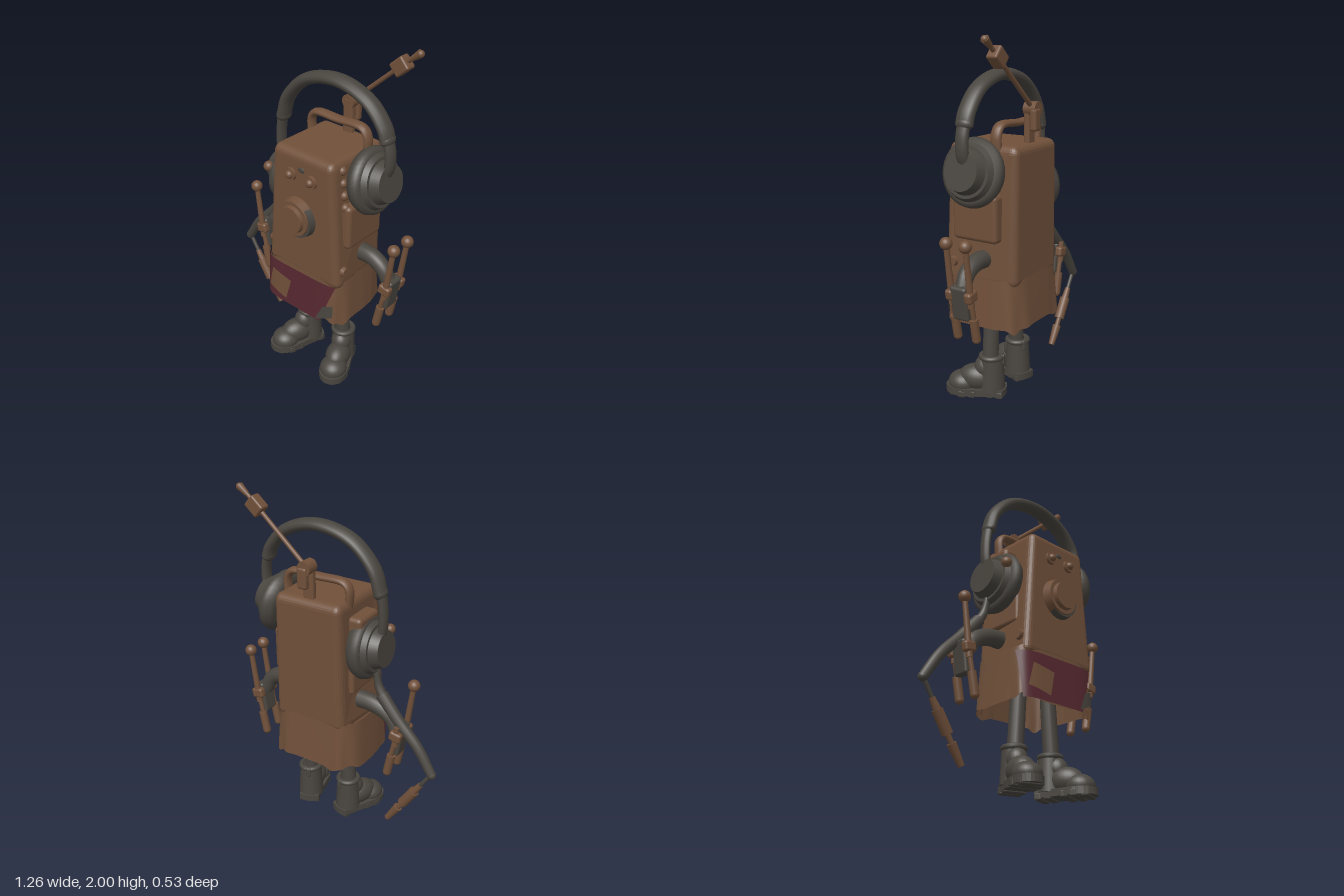
import * as THREE from 'three';
import { RoundedBoxGeometry } from 'three/addons/geometries/RoundedBoxGeometry.js';

const V = (x, y, z) => new THREE.Vector3(x, y, z);
const material = (name, color) => {
  const m = new THREE.MeshStandardMaterial({ color, side: THREE.DoubleSide });
  m.name = name;
  return m;
};

export function createModel() {
  const brown = material('rusty brown', 0x70503a);
  const grey = material('charcoal', 0x49453f);
  const red = material('dark red cloth', 0x562930);
  const model = new THREE.Group();
  model.name = 'robot';

  const add = (name, geo, mat, x = 0, y = 0, z = 0, parent = model) => {
    const mesh = new THREE.Mesh(geo, mat);
    mesh.name = name;
    mesh.position.set(x, y, z);
    parent.add(mesh);
    return mesh;
  };
  const rbox = (w, h, d, r) => new RoundedBoxGeometry(w, h, d, 3, r);
  const ball = (name, x, y, z, r, mat) => add(name, new THREE.SphereGeometry(r, 20, 14), mat, x, y, z);
  // Cylinder between two points
  const rod = (name, a, b, r0, r1, mat, sides = 16) => {
    const mid = a.clone().add(b).multiplyScalar(0.5);
    const mesh = add(name, new THREE.CylinderGeometry(r1, r0, a.distanceTo(b), sides), mat, mid.x, mid.y, mid.z);
    mesh.quaternion.setFromUnitVectors(V(0, 1, 0), b.clone().sub(a).normalize());
    return mesh;
  };
  // Tube through points, tapering from r0 to r1
  const hose = (name, points, r0, r1, mat) => {
    const curve = new THREE.CatmullRomCurve3(points), n = 40, m = 14;
    const geo = new THREE.TubeGeometry(curve, n, r0, m);
    const p = geo.attributes.position, v = V();
    for (let i = 0; i < p.count; i++) {
      const u = Math.floor(i / (m + 1)) / n, c = curve.getPointAt(u);
      v.fromBufferAttribute(p, i).sub(c).multiplyScalar(1 + (r1 / r0 - 1) * u).add(c);
      p.setXYZ(i, v.x, v.y, v.z);
    }
    return add(name, geo, mat);
  };

  // Body: rounded box narrowing to the top, and to the back at its foot
  const bodyGeo = rbox(0.535, 0.76, 0.43, 0.045);
  const bp = bodyGeo.attributes.position;
  for (let i = 0; i < bp.count; i++) {
    const low = 0.5 - bp.getY(i) / 0.76, back = 0.5 - bp.getZ(i) / 0.43;
    bp.setX(i, bp.getX(i) * (0.885 - 0.29 * bp.getY(i)) * (1 - 0.18 * low * back));
  }
  bodyGeo.computeVertexNormals();
  add('body', bodyGeo, brown, 0.105, 1.065, -0.018);

  // Side boxes and bolts
  add('leftPouch', rbox(0.1, 0.26, 0.28, 0.025), brown, 0.332, 1.065, -0.01);
  add('rightBox', rbox(0.09, 0.18, 0.2, 0.025), brown, -0.135, 1.27, -0.04);
  add('rightPouch', rbox(0.06, 0.26, 0.26, 0.02), brown, -0.11, 1.03, -0.02);
  ball('rightBolt', -0.222, 1.225, 0.11, 0.03, brown);
  for (const y of [1.18, 1.25, 1.32, 1.39]) ball('sideBolt', 0.36 - (y - 1) * 0.13, y, 0.11, 0.026, brown);
  for (const [x, s] of [[0.36, 1], [-0.15, -1]]) rod('sideKnob', V(x - s * 0.03, 0.8, 0.14), V(x + s * 0.02, 0.8, 0.14), 0.032, 0.026, brown);

  // Face: eyes, small badge and round speaker mouth
  for (const x of [0.035, 0.18]) {
    rod('eyeRim', V(x, 1.31, 0.18), V(x, 1.31, 0.214), 0.039, 0.035, brown);
    ball('eye', x, 1.31, 0.212, 0.024, brown);
  }
  add('badge', new THREE.SphereGeometry(0.025, 16, 10), grey, 0.107, 1.352, 0.194).scale.set(1, 0.65, 0.3);
  rod('speakerBase', V(0.096, 1.061, 0.18), V(0.096, 1.061, 0.235), 0.114, 0.104, grey, 32);
  rod('speakerRing', V(0.085, 1.07, 0.18), V(0.085, 1.07, 0.245), 0.116, 0.102, brown, 32);
  rod('speakerCap', V(0.085, 1.07, 0.23), V(0.085, 1.07, 0.268), 0.084, 0.076, brown, 32);

  // Carrying handle
  const h = [V(-0.085, 1.4, 0), V(-0.088, 1.5, 0), V(-0.06, 1.535, 0), V(0.1, 1.54, 0), V(0.27, 1.54, 0), V(0.3, 1.5, 0), V(0.3, 1.4, 0)];
  const handle = hose('handle', h, 0.02, 0.02, brown);
  handle.scale.z = 1.6;
  handle.position.z = -0.103;

  // Antenna with its mount
  add('antennaPost', rbox(0.065, 0.24, 0.036, 0.012), brown, 0.108, 1.52, -0.182);
  add('antennaClamp', rbox(0.06, 0.12, 0.04, 0.015), brown, 0.12, 1.565, -0.225);
  rod('antennaHinge', V(0.108, 1.62, -0.238), V(0.108, 1.62, -0.165), 0.04, 0.04, brown);
  rod('antennaRod', V(0.11, 1.62, -0.205), V(0.5, 1.965, -0.192), 0.013, 0.012, brown);
  add('antennaBlock', rbox(0.095, 0.08, 0.066, 0.012), brown, 0.422, 1.895, -0.193).rotation.z = 0.73;
  rod('antennaGrip', V(0.48, 1.945, -0.192), V(0.528, 1.983, -0.192), 0.014, 0.022, brown);
  ball('antennaTip', 0.526, 1.98, -0.192, 0.02, brown);

  // Headphone band and its flat end pieces
  const flat = (name, pts, r0, r1) => {
    const part = hose(name, pts.map(([x, y]) => V(x, y, 0)), r0, r1, grey);
    part.scale.z = 1.5;
    part.position.z = -0.032;
  };
  flat('headband', [[-0.235, 1.49], [-0.195, 1.61], [-0.06, 1.745], [0.155, 1.795], [0.355, 1.735], [0.46, 1.62], [0.48, 1.56]], 0.034, 0.034);
  for (const [x, y] of [[-0.234, 1.49], [0.478, 1.57]]) ball('bandEnd', x, y, -0.032, 0.036, grey).scale.z = 1.4;
  flat('rightBandArm', [[-0.24, 1.5], [-0.255, 1.38], [-0.25, 1.26], [-0.225, 1.2]], 0.025, 0.022);
  flat('leftBandArm', [[0.48, 1.58], [0.5, 1.5], [0.5, 1.42], [0.48, 1.36]], 0.025, 0.025);

  // Ear cups: soft cushion, shell and raised disc facing outward
  const cushion = [[0.1, -0.07], [0.14, -0.07], [0.168, -0.055], [0.184, -0.02], [0.178, 0.008], [0.155, 0.022], [0.1, 0.022]]
    .map(([r, y]) => new THREE.Vector2(r, y));
  const earCup = (name, x, y, tilt) => {
    const cup = new THREE.Group();
    cup.name = name;
    cup.position.set(x, y, -0.03);
    cup.rotation.z = tilt;
    model.add(cup);
    add('cushion', new THREE.LatheGeometry(cushion, 40), grey, 0, 0, 0, cup);
    for (const [part, r0, r1, y0, y1] of [['lining', 0.12, 0.12, -0.06, 0], ['shell', 0.158, 0.135, 0.01, 0.05], ['disc', 0.122, 0.1, 0.04, 0.1]])
      add(part, new THREE.CylinderGeometry(r1, r0, y1 - y0, 40), grey, 0, (y0 + y1) / 2, 0, cup);
  };
  earCup('leftEarCup', 0.42, 1.315, -Math.PI / 2 + 0.2);
  earCup('rightEarCup', -0.178, 1.165, Math.PI / 2 - 0.08);

  // Ragged skirt: open sleeve, squarish in front and drawn in at the back
  const power = 5.6;
  const cloth = (name, grow, top, hem) => {
    const rows = 6, cols = 120, pos = [], index = [];
    for (let j = 0; j <= rows; j++) for (let i = 0; i <= cols; i++) {
      const a = Math.PI * 2 * i / cols, t = j / rows;
      const bend = (s) => Math.sign(s) * Math.abs(s) ** (2 / power);
      const rag = 0.012 * Math.sin(a * 5 + 2) + 0.006 * Math.sin(a * 11);
      const out = 0.012 * t + grow + 0.005 * t * Math.sin(a * 8);
      const sz = bend(Math.sin(a)), back = Math.max(0, -sz);
      pos.push(0.095 + bend(Math.cos(a)) * (0.274 + out) * (1 - 0.18 * back * back),
        top + rag * 0.4 * (1 - t) + (hem + rag - top) * t,
        -0.02 + sz * (0.217 + out + 0.012 * back * t));
      if (j < rows && i < cols) {
        const k = j * (cols + 1) + i, n = k + cols + 1;
        index.push(k, k + 1, n, k + 1, n + 1, n);
      }
    }
    const geo = new THREE.BufferGeometry();
    geo.setAttribute('position', new THREE.Float32BufferAttribute(pos, 3));
    geo.setIndex(index);
    geo.computeVertexNormals();
    add(name, geo, brown);
  };
  cloth('skirt', 0, 0.73, 0.452);
  cloth('skirtLining', -0.02, 0.72, 0.457);

  // Four-cornered patches curved to lie on the front of the skirt
  const patch = (name, mat, lift, [tl, tr, br, bl]) => {
    const geo = new THREE.PlaneGeometry(1, 1, 40, 8);
    const p = geo.attributes.position, mix = THREE.MathUtils.lerp;
    for (let i = 0; i < p.count; i++) {
      const s = p.getX(i) + 0.5, d = 0.5 - p.getY(i);
      const x = mix(mix(tl[0], tr[0], s), mix(bl[0], br[0], s), d);
      const y = mix(mix(tl[1], tr[1], s), mix(bl[1], br[1], s), d);
      const u = Math.min(Math.abs(x - 0.095) / 0.292, 0.99), t = (0.73 - y) / 0.28;
      p.setXYZ(i, x, y, lift - 0.02 + (0.217 + 0.012 * t) * (1 - u ** power) ** (1 / power));
    }
    geo.computeVertexNormals();
    add(name, geo, mat);
  };
  patch('frontCloth', red, 0.007, [[-0.188, 0.7], [0.345, 0.705], [0.25, 0.443], [-0.168, 0.44]]);
  patch('skirtPatch', brown, 0.012, [[-0.113, 0.638], [0.035, 0.612], [0, 0.475], [-0.145, 0.507]]);
  patch('greyPatch', grey, 0.012, [[0.275, 0.555], [0.338, 0.578], [0.338, 0.5], [0.225, 0.45]]);

  // Arms and headphone cable
  hose('leftArm', [V(0.3, 0.835, -0.04), V(0.42, 0.83, -0.04), V(0.49, 0.79, -0.04), V(0.535, 0.71, -0.045)], 0.052, 0.042, grey);
  hose('rightArm', [V(-0.1, 0.83, -0.04), V(-0.22, 0.82, -0.04), V(-0.32, 0.77, -0.04), V(-0.37, 0.68, -0.045)], 0.052, 0.042, grey);
  hose('cable', [V(-0.225, 1.06, -0.04), V(-0.243, 0.96, -0.05), V(-0.29, 0.88, -0.06)], 0.016, 0.03, grey);
  hose('cableSleeve', [V(-0.27, 0.91, -0.06), V(-0.38, 0.785, -0.07), V(-0.51, 0.65, -0.075), V(-0.605, 0.505, -0.08)], 0.036, 0.027, grey);
  ball('sleeveEnd', -0.605, 0.505, -0.08, 0.027, grey);
  const P = (t) => V(-0.6 + 0.26 * t, 0.5 - 0.4 * t, -0.08);
  rod('plugLead', P(0), P(0.3), 0.012, 0.012, grey);
  rod('plugCollar', P(0.22), P(0.36), 0.016, 0.022, brown);
  rod('plugBody', P(0.36), P(0.64), 0.03, 0.03, brown);
  rod('plugNeck', P(0.62), P(0.76), 0.015, 0.015, brown);
  rod('plugTip', P(0.74), P(1), 0.026, 0.018, brown);

  // Claw hands: ball-topped levers above, fingers below
  const hand = (name, x, s, tops) => {
    add(name + 'Palm', rbox(0.055, 0.19, 0.1, 0.015), grey, x, 0.655, -0.045).rotation.z = -s * 0.15;
    for (const z of [0.012, -0.108]) {
      const top = tops.includes(z) ? 0.975 : 0.76;
      const tx = x + s * (top - 0.69) * 0.16;
      add(name + 'Clamp', rbox(0.075, 0.06, 0.045, 0.015), brown, x + s * 0.005, 0.7, z).rotation.z = -s * 0.2;
      rod(name + 'Lever', V(x, 0.64, z), V(tx, top, z), 0.019, 0.015, brown);
      if (top > 0.9) ball(name + 'LeverBall', tx, top, z, 0.034, brown);
      rod(name + 'FingerNeck', V(x, 0.66, z), V(x - s * 0.025, 0.55, z), 0.014, 0.014, brown);
      rod(name + 'Finger', V(x - s * 0.018, 0.57, z), V(x - s * 0.042, 0.45, z), 0.024, 0.024, brown);
      ball(name + 'FingerTip', x - s * 0.042, 0.45, z, 0.024, brown);
    }
  };
  hand('leftHand', 0.545, 1, [0.012, -0.108]);
  hand('rightHand', -0.385, -1, [0.012]);

  // Legs and boots, toes turned outward
  const outline = new THREE.Shape();
  outline.moveTo(-0.06, 0.075);
  outline.quadraticCurveTo(0, 0.1, 0.06, 0.075);
  outline.bezierCurveTo(0.062, -0.02, 0.08, -0.08, 0.085, -0.15);
  outline.bezierCurveTo(0.085, -0.3, -0.085, -0.3, -0.085, -0.15);
  outline.bezierCurveTo(-0.08, -0.08, -0.062, -0.02, -0.06, 0.075);
  const soleGeo = new THREE.ExtrudeGeometry(outline, { depth: 0.04, bevelEnabled: false, curveSegments: 12 }).rotateX(-Math.PI / 2);
  for (const [side, x, hip] of [[1, 0.24, 0.2], [-1, -0.035, 0.0]]) {
    rod('leg', V(x, 0.2, -0.015), V(hip, 0.75, -0.01), 0.046, 0.043, grey);
    const boot = new THREE.Group();
    boot.name = side > 0 ? 'leftBoot' : 'rightBoot';
    boot.position.set(x, 0, -0.02);
    boot.rotation.y = side * 0.36;
    model.add(boot);
    add('sole', soleGeo, grey, 0, 0.01, 0, boot);
    for (const [z, w] of [[-0.055, 0.125], [0, 0.125], [0.1, 0.16], [0.155, 0.172], [0.21, 0.13]])
      add('tread', rbox(w, 0.04, 0.04, 0.008), grey, 0, 0.02, z, boot);
    add('toeCap', new THREE.SphereGeometry(0.08, 24, 16), grey, 0, 0.065, 0.165, boot).scale.set(1, 0.8, 1.05);
    add('instep', new THREE.SphereGeometry(0.08, 24, 16), grey, 0, 0.1, 0.085, boot).scale.set(0.9, 0.95, 1.3);
    add('tongue', new THREE.SphereGeometry(0.062, 24, 16), grey, 0, 0.165, 0.035, boot).scale.set(0.95, 1.1, 1);
    add('ankle', new THREE.CylinderGeometry(0.064, 0.075, 0.2, 24), grey, 0, 0.14, -0.005, boot);
    add('cuff', new THREE.TorusGeometry(0.058, 0.016, 10, 24), grey, 0, 0.235, -0.003, boot).rotation.x = Math.PI / 2;
    add('pullTab', rbox(0.03, 0.06, 0.02, 0.008), grey, 0, 0.22, -0.07, boot);
  }
  return model;
}
